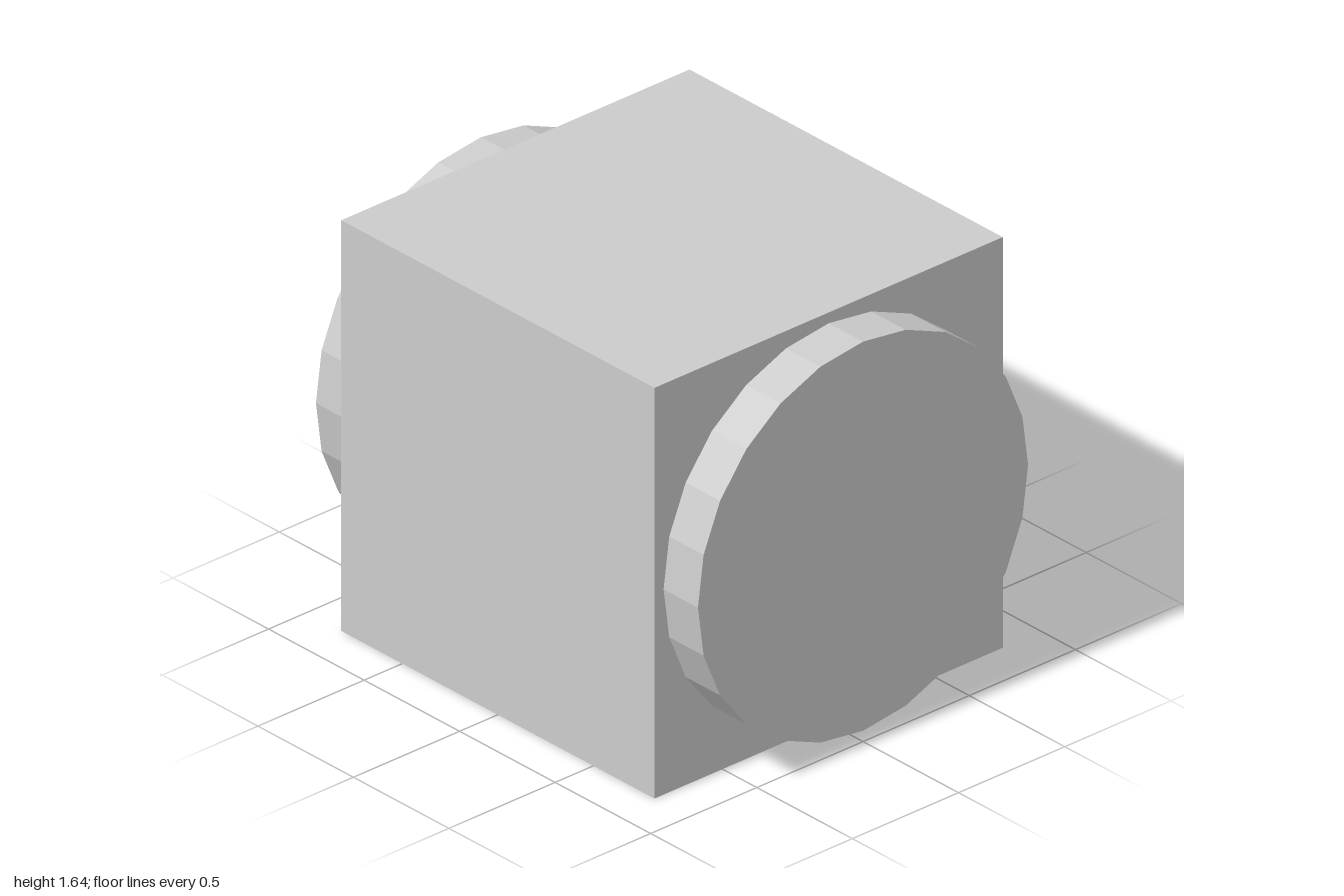
import * as THREE from 'three';

export function createModel() {
  const group = new THREE.Group();
  const material = new THREE.MeshStandardMaterial({ color: 0xcccccc, flatShading: true });
  const size = 1.64, length = 2, radius = 0.777;
  const discDepth = (length - size) / 2;

  // Cube body standing on the ground
  const body = new THREE.Mesh(new THREE.BoxGeometry(size, size, size), material);
  body.name = 'body';
  body.position.y = size / 2;
  group.add(body);

  // Matching 24-sided discs on the front and back faces
  const discGeometry = new THREE.CylinderGeometry(radius, radius, discDepth, 24).rotateX(Math.PI / 2);
  for (const [name, side] of [['frontDisc', 1], ['backDisc', -1]]) {
    const disc = new THREE.Mesh(discGeometry, material);
    disc.name = name;
    disc.position.set(0, size / 2, side * (size + discDepth) / 2);
    group.add(disc);
  }
  return group;
}
